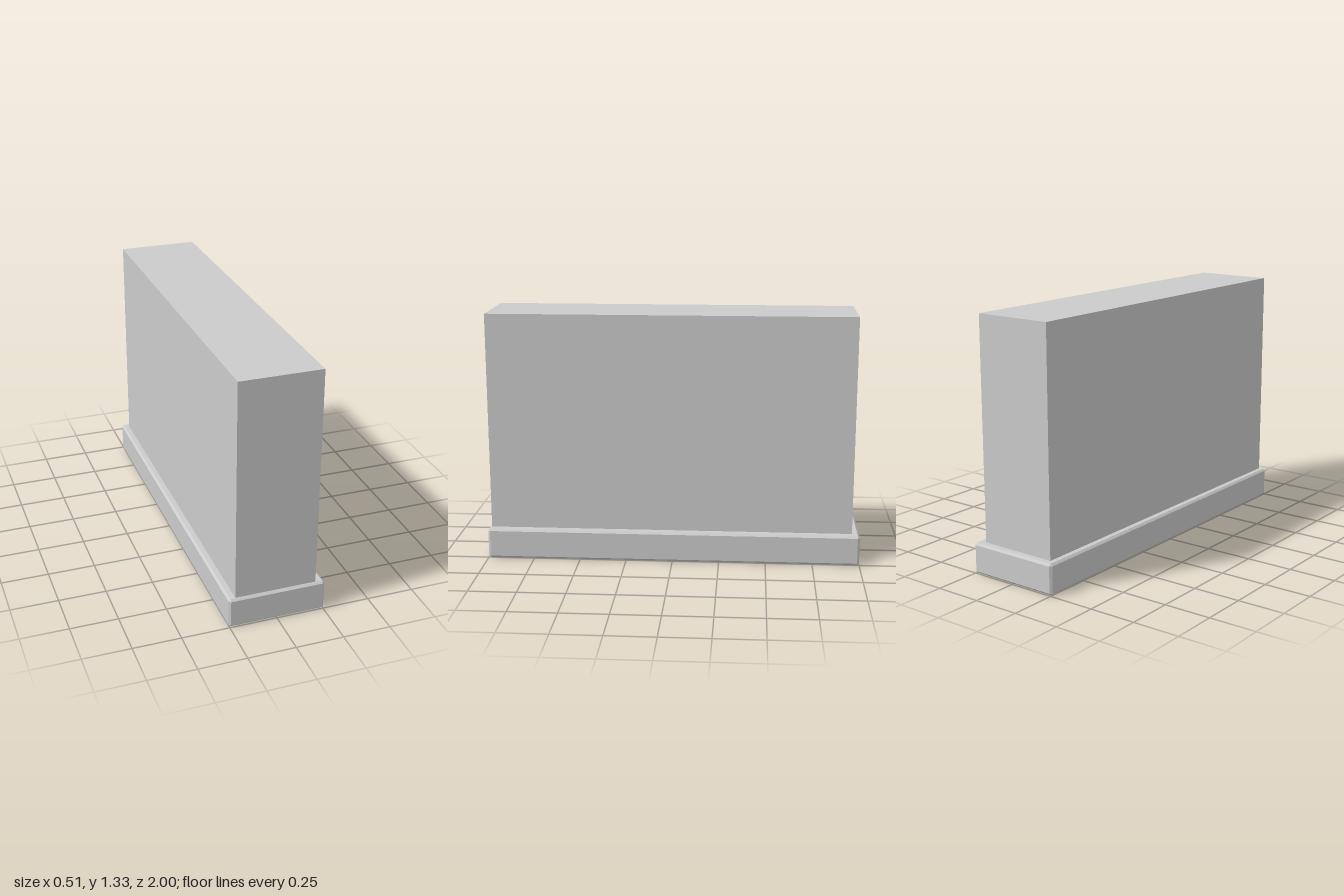
import * as THREE from 'three';
import { ConvexGeometry } from 'three/addons/geometries/ConvexGeometry.js';

const material = new THREE.MeshStandardMaterial({ color: 0xcccccc, flatShading: true });

// Box with every edge cut by a single flat chamfer
function chamferedBox(w, h, d, c) {
  const points = [];
  for (const x of [-1, 1]) for (const y of [-1, 1]) for (const z of [-1, 1]) {
    for (let axis = 0; axis < 3; axis++) {
      // Each corner gives three points, one on each adjoining face
      const half = [w / 2, h / 2, d / 2].map((s, i) => (i === axis ? s : s - c));
      points.push(new THREE.Vector3(x * half[0], y * half[1], z * half[2]));
    }
  }
  return new ConvexGeometry(points);
}

function addPart(group, name, geometry, x, y, z) {
  const mesh = new THREE.Mesh(geometry, material);
  mesh.name = name;
  mesh.position.set(x, y, z);
  group.add(mesh);
}

export function createModel() {
  const model = new THREE.Group();
  model.name = 'blockOnPlinth';

  // Low chamfered plinth
  const plinthHeight = 0.162;
  addPart(model, 'plinth', chamferedBox(0.51, plinthHeight, 2, 0.011), 0, plinthHeight / 2, 0);

  // Tall sharp-edged block, set slightly off centre on the plinth
  const blockBottom = 0.155, blockTop = 1.327;
  const blockHeight = blockTop - blockBottom;
  addPart(model, 'block', new THREE.BoxGeometry(0.426, blockHeight, 1.946),
    -0.005, blockBottom + blockHeight / 2, 0.013);

  return model;
}
